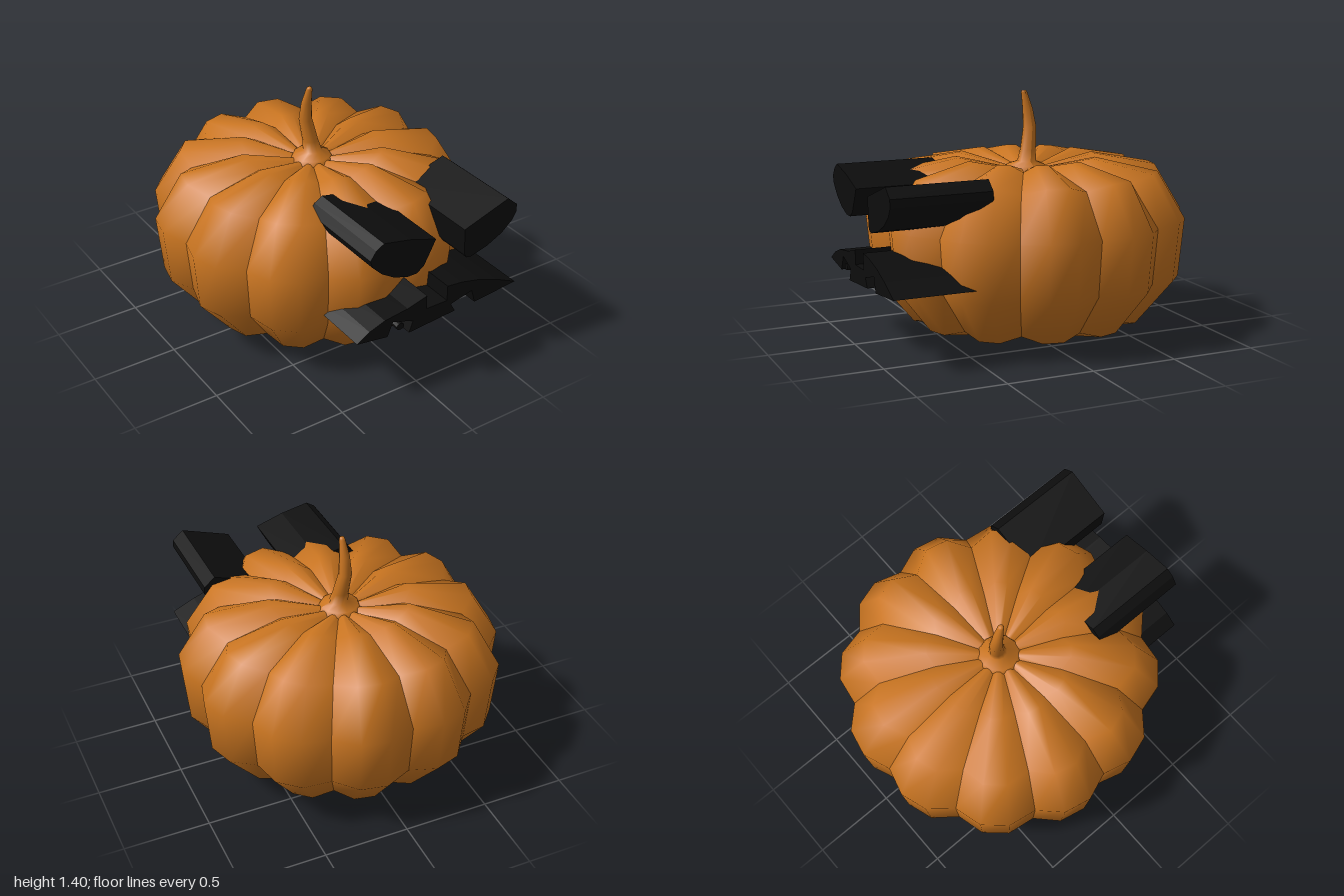
import * as THREE from 'three';

const CENTER_Z = -0.07;
const RIBS = 12;
const orange = new THREE.MeshStandardMaterial({ color: 0xc87420, side: THREE.DoubleSide });
const black = new THREE.MeshStandardMaterial({ color: 0x0d0d0d });

// Surface through a grid of rows (bottom to top) of points running counterclockwise
function loft(rows) {
  const w = rows[0].length, index = [];
  for (let j = 0; j < rows.length - 1; j++) {
    for (let i = 0; i < w - 1; i++) {
      const a = j * w + i;
      index.push(a, a + 1, a + w + 1, a, a + w + 1, a + w);
    }
  }
  const g = new THREE.BufferGeometry();
  g.setAttribute('position', new THREE.Float32BufferAttribute(rows.flat(2), 3));
  g.setIndex(index);
  g.computeVertexNormals();
  return g;
}

// Rib cross-section rings: [crest radius, crest y, valley radius, valley y]
const RINGS = [
  [0.00, 0.09, 0.00, 0.09],
  [0.11, 0.07, 0.10, 0.10],
  [0.34, 0.00, 0.31, 0.04],
  [0.685, 0.07, 0.64, 0.10],
  [0.905, 0.34, 0.84, 0.35],
  [0.937, 0.68, 0.87, 0.67],
  [0.775, 0.95, 0.70, 0.91],
  [0.41, 1.02, 0.37, 0.975],
  [0.10, 0.95, 0.09, 0.93],
  [0.00, 0.93, 0.00, 0.93],
];

// One rib: valley, two crest columns, valley; separate ribs keep the valleys sharp
function ribGeometry() {
  return loft(RINGS.map(([cr, cy, vr, vy]) => [0, 1, 2, 3].map((i) => {
    const crest = i === 1 || i === 2;
    const r = crest ? cr : vr;
    const a = THREE.MathUtils.degToRad(3 + i * 10);
    return [r * Math.cos(a), crest ? cy : vy, -r * Math.sin(a)];
  })));
}

// Bent tapering stem with a flared foot: [x, y, z, radius]
function stemGeometry() {
  const sides = 12;
  const rings = [
    [0, 0.93, CENTER_Z, 0.125],
    [0, 0.965, CENTER_Z, 0.11],
    [0.008, 0.985, -0.073, 0.055],
    [0.0, 1.05, -0.085, 0.046],
    [-0.019, 1.18, -0.105, 0.039],
    [-0.02, 1.29, -0.092, 0.03],
    [-0.016, 1.385, -0.068, 0.018],
    [-0.016, 1.397, -0.065, 0.012],
    [-0.016, 1.397, -0.065, 0],
  ];
  return loft(rings.map(([x, y, z, r]) => Array.from({ length: sides + 1 }, (_, i) => {
    const a = (i / sides) * Math.PI * 2;
    return [x + r * Math.cos(a), y, z - r * Math.sin(a)];
  })));
}

// Black face pieces run straight forward from inside the body
function facePiece(name, shape) {
  const g = new THREE.ExtrudeGeometry(shape, { depth: 0.58, bevelEnabled: false, curveSegments: 8 });
  g.translate(0, 0, 0.42);
  const mesh = new THREE.Mesh(g, black);
  mesh.name = name;
  return mesh;
}

const polygon = (pts) => new THREE.Shape(pts.map(([x, y]) => new THREE.Vector2(x, y)));

export function createModel() {
  const model = new THREE.Group();
  model.name = 'carvedPumpkin';

  // Ribbed body
  const body = new THREE.Group();
  body.name = 'body';
  body.position.z = CENTER_Z;
  const rib = ribGeometry();
  for (let k = 0; k < RIBS; k++) {
    const mesh = new THREE.Mesh(rib, orange);
    mesh.name = 'rib';
    mesh.rotation.y = (k / RIBS) * Math.PI * 2;
    body.add(mesh);
  }
  model.add(body);

  const stem = new THREE.Mesh(stemGeometry(), orange);
  stem.name = 'stem';
  model.add(stem);

  // Eyes
  model.add(facePiece('rightEye', polygon([
    [-0.25, 1.0], [-0.30, 0.97], [-0.335, 0.92], [-0.32, 0.875], [-0.26, 0.815], [-0.18, 0.765],
    [-0.09, 0.735], [-0.03, 0.735], [0.015, 0.765], [0.05, 0.83], [0.09, 0.91], [-0.08, 0.965],
  ])));
  model.add(facePiece('leftEye', polygon([
    [0.285, 0.90], [0.295, 0.74], [0.31, 0.715], [0.34, 0.71], [0.45, 0.74], [0.55, 0.79],
    [0.62, 0.85], [0.648, 0.90], [0.645, 0.945], [0.58, 1.0],
  ])));

  // Toothed grin
  model.add(facePiece('mouth', polygon([
    [-0.41, 0.42], [-0.33, 0.47], [-0.23, 0.505], [-0.08, 0.525], [0.05, 0.56], [0.05, 0.475],
    [0.19, 0.475], [0.19, 0.57], [0.29, 0.56], [0.42, 0.53], [0.54, 0.485], [0.68, 0.42],
    [0.39, 0.39], [0.365, 0.475], [0.22, 0.44], [0.25, 0.385], [-0.065, 0.36], [-0.04, 0.43],
    [-0.175, 0.475], [-0.21, 0.39],
  ])));

  // Small round spot on the tooth
  const spot = new THREE.Shape();
  spot.absellipse(-0.125, 0.425, 0.026, 0.02, 0, Math.PI * 2);
  model.add(facePiece('toothSpot', spot));

  return model;
}
